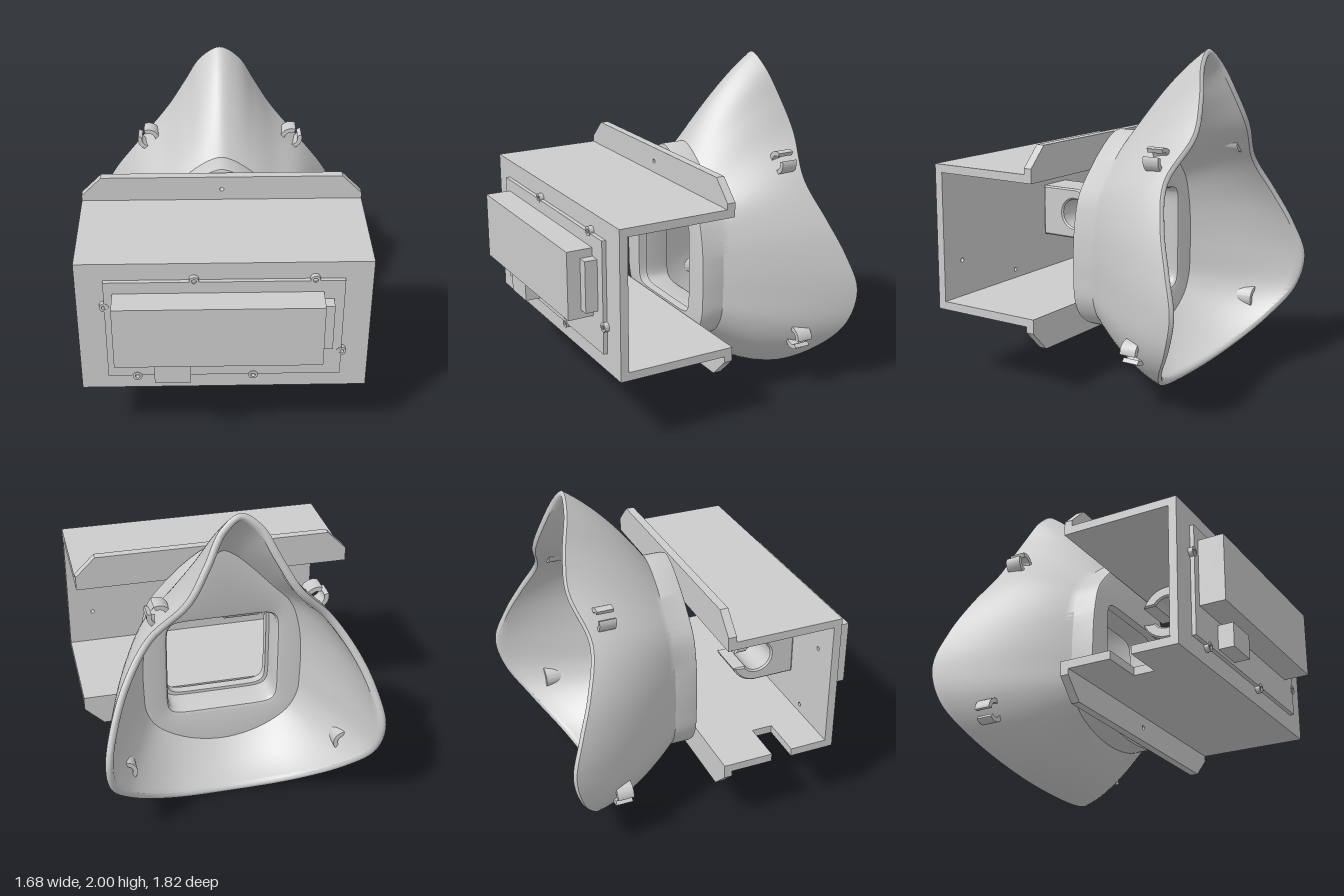
import * as THREE from 'three';
import { toCreasedNormals } from 'three/addons/utils/BufferGeometryUtils.js';

const grey = new THREE.MeshStandardMaterial({ color: 0xcccccc });

function add(parent, name, geometry) {
  const mesh = new THREE.Mesh(geometry, grey);
  mesh.name = name;
  parent.add(mesh);
  return mesh;
}

// Box given by its limits on each axis
function block(parent, name, [x0, x1], [y0, y1], [z0, z1]) {
  const mesh = add(parent, name, new THREE.BoxGeometry(x1 - x0, y1 - y0, z1 - z0));
  mesh.position.set((x0 + x1) / 2, (y0 + y1) / 2, (z0 + z1) / 2);
  return mesh;
}

// Flat plate: polygon outline with round holes [x, y, r], extruded along z
function plate(points, depth, holes = []) {
  const shape = new THREE.Shape(points.map(([x, y]) => new THREE.Vector2(x, y)));
  for (const [x, y, r] of holes) shape.holes.push(new THREE.Path().absarc(x, y, r, 0, Math.PI * 2, true));
  return new THREE.ExtrudeGeometry(shape, { depth, bevelEnabled: false, curveSegments: 16 });
}

// Closed, mirrored curve from its +x half, running from the top to the bottom
function mirroredLoop(half) {
  const right = half.map(p => new THREE.Vector3(...p));
  const left = right.slice(1, -1).reverse().map(p => new THREE.Vector3(-p.x, p.y, p.z));
  return new THREE.CatmullRomCurve3([...right, ...left], true);
}

const COLLAR_Z = -0.15, FLOOR_Z = -0.24, WALL = 0.045;
const collar = mirroredLoop([
  [0, 1.49, 0], [0.08, 1.465, 0], [0.2, 1.38, 0], [0.31, 1.275, 0], [0.42, 1.14, 0], [0.465, 0.98, 0],
  [0.48, 0.82, 0], [0.48, 0.66, 0], [0.465, 0.5, 0], [0.39, 0.38, 0], [0.22, 0.3, 0], [0, 0.27, 0]]);
const rim = mirroredLoop([
  [0, 2, -0.635], [0.12, 1.92, -0.655], [0.22, 1.74, -0.705], [0.33, 1.55, -0.733], [0.54, 1.31, -0.673],
  [0.69, 1.08, -0.745], [0.78, 0.87, -0.83], [0.83, 0.65, -0.893], [0.8, 0.43, -0.845], [0.66, 0.24, -0.723],
  [0.38, 0.065, -0.575], [0, 0, -0.51]]);

// Outer skin from collar (t = 0) to rim (t = 1), bulging outwards
function skin(u, t) {
  const a = collar.getPoint((u + 1) % 1).setZ(COLLAR_Z), b = rim.getPoint((u + 1) % 1);
  const out = a.clone().add(b).multiplyScalar(0.5).sub(new THREE.Vector3(0, 0.85, 0)).setZ(0).normalize();
  return a.lerp(b, t).addScaledVector(out, 0.18 * t * (1 - t));
}

// Skin moved inwards, square to its outline
function inset(u, t, d) {
  const g = skin(u + 0.002, t).sub(skin(u - 0.002, t));
  const n = new THREE.Vector3(-g.y, g.x, 0).normalize();
  return skin(u, t).addScaledVector(n, -d);
}

// Rounded rectangular window, grown by g
function windowPoint(u, g, z) {
  const c = collar.getPoint(u), a = 0.34 + g, b = 0.32 + g;
  const angle = Math.atan2(c.y - 0.78, c.x), k = Math.cos(angle), s = Math.sin(angle);
  const r = Math.pow(Math.pow(Math.abs(k) / a, 9) + Math.pow(Math.abs(s) / b, 9), -1 / 9);
  return new THREE.Vector3(k * r, 0.78 + s * r, z);
}

// Closed wall section of the mask at one place around the outline
function maskSection(u) {
  const p = [], steps = 14;
  p.push(inset(u, 0, 0.015).setZ(-0.005), inset(u, 0, 0.004).setZ(-0.01), skin(u, 0).setZ(-0.022));
  for (let i = 0; i <= steps; i++) p.push(skin(u, i / steps));
  const outer = skin(u, 1), inner = inset(u, 1, WALL);
  for (const w of [0.12, 0.3, 0.5, 0.7, 0.88]) {
    const q = outer.clone().lerp(inner, w);
    q.z -= 0.014 * Math.sin(Math.PI * w);
    p.push(q);
  }
  const t0 = (FLOOR_Z - COLLAR_Z) / (outer.z - COLLAR_Z);
  for (let i = steps; i >= 0; i--) p.push(inset(u, t0 + (1 - t0) * i / steps, WALL));
  p.push(windowPoint(u, 0.03, FLOOR_Z), windowPoint(u, 0.012, -0.232), windowPoint(u, 0.003, -0.215),
    windowPoint(u, 0, -0.06), windowPoint(u, -0.02, -0.06), windowPoint(u, -0.02, -0.005));
  return p;
}

function maskGeometry() {
  const N = 132, pos = [], index = [];
  let M = 0;
  for (let i = 0; i < N; i++) {
    const section = maskSection(i / N);
    M = section.length;
    section.forEach(q => pos.push(q.x, q.y, q.z));
  }
  for (let i = 0; i < N; i++) for (let j = 0; j < M; j++) {
    const i2 = (i + 1) % N, j2 = (j + 1) % M;
    const a = i * M + j, b = i2 * M + j, c = i2 * M + j2, d = i * M + j2;
    index.push(a, b, d, b, c, d);
  }
  const g = new THREE.BufferGeometry();
  g.setAttribute('position', new THREE.Float32BufferAttribute(pos, 3));
  g.setIndex(index);
  return toCreasedNormals(g, 0.6);
}

// C-shaped band whose gap is centred on +x
function clipRing(outer, inner, gap, depth) {
  const s = new THREE.Shape();
  s.absarc(0, 0, outer, gap, Math.PI * 2 - gap, false);
  s.absarc(0, 0, inner, Math.PI * 2 - gap, gap, true);
  const g = new THREE.ExtrudeGeometry(s, { depth, bevelEnabled: false, curveSegments: 28 });
  return toCreasedNormals(g.translate(0, 0, -depth / 2), 0.6);
}

export function createModel() {
  const model = new THREE.Group();
  model.name = 'maskWithHousing';

  // Face mask and its four strap hooks
  add(model, 'mask', maskGeometry());
  for (const side of [1, -1]) for (const [x, y, turn] of [[0.455, 1.41, 0.75], [0.68, 0.355, -0.45]]) {
    const hook = add(model, 'strapHook', clipRing(0.07, 0.043, 0.4, 0.1));
    hook.position.set(side * x, y, -0.575);
    hook.rotation.z = side > 0 ? turn : Math.PI - turn;
  }

  // Housing: front plate with screw holes, top and bottom walls
  const housing = new THREE.Group();
  housing.name = 'housing';
  model.add(housing);
  const screws = [[-0.17, 1.215], [0.51, 1.215], [-0.68, 1.04], [0.68, 0.705], [-0.51, 0.535], [0.17, 0.535]];
  add(housing, 'frontPlate', plate([[-0.84, 0.43], [0.84, 0.43], [0.84, 1.32], [-0.84, 1.32]], 0.05,
    screws.map(([x, y]) => [x, y, 0.013]))).position.z = 0.68;
  block(housing, 'topWall', [-0.84, 0.84], [1.27, 1.32], [0.01, 0.68]);

  // Bottom wall with a cable slot open to one side (drawn in x and -z, laid flat)
  const floor = add(housing, 'bottomWall', plate([[-0.84, -0.68], [0.84, -0.68], [0.84, -0.01], [-0.84, -0.01],
    [-0.84, -0.32], [-0.58, -0.32], [-0.58, -0.45], [-0.84, -0.45]], 0.05));
  floor.rotation.x = -Math.PI / 2;
  floor.position.y = 0.43;

  // Flanges with cut corners
  add(housing, 'topFlange', plate([[-0.84, 1.32], [0.84, 1.32], [0.84, 1.355], [0.72, 1.475],
    [-0.72, 1.475], [-0.84, 1.355]], 0.05, [[0, 1.39, 0.013]])).position.z = 0.01;
  add(housing, 'bottomFlange', plate([[-0.84, 0.43], [-0.84, 0.395], [-0.72, 0.275], [0.72, 0.275],
    [0.84, 0.395], [0.84, 0.43]], 0.05, [[0, 0.36, 0.013]])).position.z = 0.01;

  // Holder clip inside the housing, open to the back (drawn in -z and y)
  const c = new THREE.Shape();
  const open = Math.asin(0.055 / 0.095);
  c.moveTo(-0.25, -0.165);
  c.lineTo(0, -0.165);
  c.absarc(0, 0, 0.165, -Math.PI / 2, -Math.asin(0.055 / 0.165), false);
  c.absarc(0, 0, 0.095, -open, open, true);
  c.absarc(0, 0, 0.165, Math.asin(0.055 / 0.165), Math.PI / 2, false);
  c.lineTo(-0.25, 0.165);
  const clip = add(housing, 'holderClip', toCreasedNormals(new THREE.ExtrudeGeometry(c,
    { depth: 0.23, bevelThickness: 0.01, bevelSize: 0.01, bevelOffset: -0.01, bevelSegments: 1, curveSegments: 28 }), 0.6));
  clip.rotation.y = Math.PI / 2;
  clip.position.set(-0.38, 0.877, 0.43);

  // Display module: board with screw lugs, screen, connector and component
  const display = new THREE.Group();
  display.name = 'displayModule';
  model.add(display);
  block(display, 'board', [-0.68, 0.68], [0.54, 1.21], [0.73, 0.755]);
  for (const [x, y] of screws) {
    const ring = new THREE.Shape().absarc(0, 0, 0.028, 0, Math.PI * 2, false);
    ring.holes.push(new THREE.Path().absarc(0, 0, 0.014, 0, Math.PI * 2, true));
    const lug = add(display, 'screwLug', toCreasedNormals(
      new THREE.ExtrudeGeometry(ring, { depth: 0.028, bevelEnabled: false, curveSegments: 16 }), 0.6));
    lug.position.set(x, y, 0.73);
  }
  block(display, 'screen', [-0.63, 0.56], [0.73, 1.135], [0.75, 0.91]);
  block(display, 'connector', [0.56, 0.62], [0.78, 1.085], [0.75, 0.83]);
  block(display, 'component', [-0.405, -0.195], [0.56, 0.705], [0.75, 0.85]);
  return model;
}
